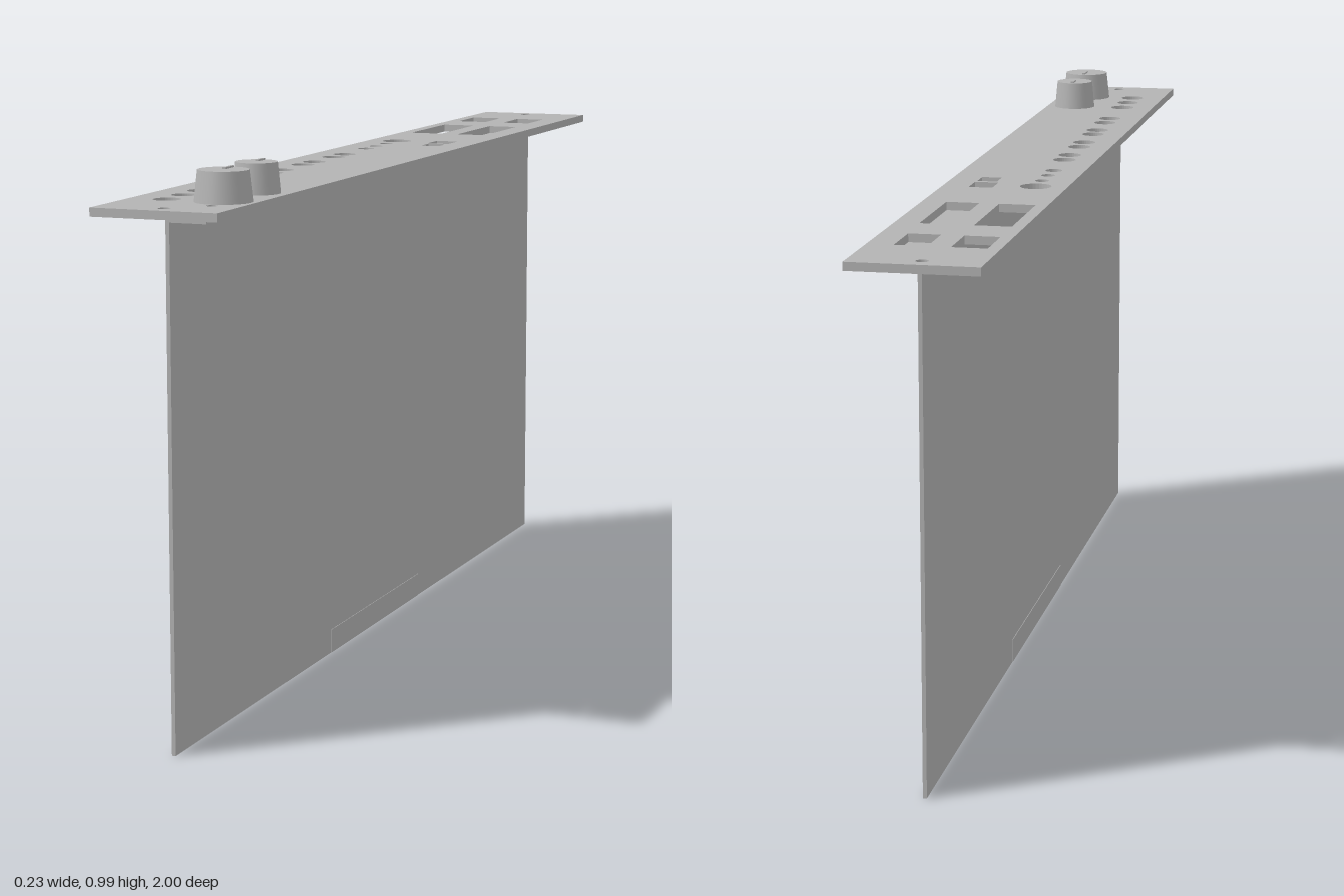
import * as THREE from 'three';

const PANEL_TOP = 0.934, PANEL_BOTTOM = 0.919;

export function createModel() {
  const model = new THREE.Group();
  model.name = 'panelCard';
  const grey = new THREE.MeshStandardMaterial({ color: 0xb3b3b3 });
  grey.name = 'grey';

  const add = (name, geometry, x, y, z, parent = model) => {
    const mesh = new THREE.Mesh(geometry, grey);
    mesh.name = name;
    mesh.position.set(x, y, z);
    parent.add(mesh);
    return mesh;
  };

  // Outlines are drawn in plan: shape x = x, shape y = z
  const rect = (path, x0, x1, z0, z1) =>
    path.moveTo(x0, z0).lineTo(x1, z0).lineTo(x1, z1).lineTo(x0, z1).closePath();

  // Face plate with all cut-outs
  const plate = rect(new THREE.Shape(), -0.114, 0.114, -1, 1);
  const windows = [
    [-0.092, -0.03, -0.85, -0.75], [-0.092, -0.026, -0.658, -0.454],
    [0.01, 0.067, -0.85, -0.75], [0.01, 0.07, -0.658, -0.454],
    [0.02, 0.064, -0.3, -0.246], [0.025, 0.062, -0.236, -0.194],
  ];
  windows.forEach((w) => plate.holes.push(rect(new THREE.Path(), ...w)));

  const sockets = [
    [-0.055, -0.27, 0.029], [-0.055, -0.21, 0.013], [-0.055, -0.152, 0.013], [-0.055, -0.098, 0.016],
    [-0.052, 0.024, 0.022], [-0.052, 0.08, 0.022], [-0.052, 0.179, 0.022], [-0.052, 0.235, 0.022],
    [-0.051, 0.338, 0.022], [-0.05, 0.391, 0.022], [-0.048, 0.49, 0.022], [-0.048, 0.548, 0.022],
    [-0.048, 0.704, 0.024], [-0.048, 0.774, 0.022], [-0.047, 0.844, 0.024],
    [-0.01, -0.968, 0.011], [0.005, 0.967, 0.011], [0.063, 0.906, 0.01],
  ];
  sockets.forEach(([x, z, r]) => {
    const hole = new THREE.Path();
    hole.absarc(x, z, r, 0, Math.PI * 2, true);
    plate.holes.push(hole);
  });
  const plateGeometry = new THREE.ExtrudeGeometry(plate, {
    depth: PANEL_TOP - PANEL_BOTTOM, bevelEnabled: false, curveSegments: 16,
  });
  plateGeometry.rotateX(Math.PI / 2);
  add('facePlate', plateGeometry, 0, PANEL_TOP, 0);

  // Upright circuit board, backing strip and edge contacts
  add('board', new THREE.BoxGeometry(0.007, PANEL_BOTTOM, 1.89), 0, PANEL_BOTTOM / 2, 0);
  add('backingStrip', new THREE.BoxGeometry(0.07, 0.011, 1.89), 0.035, 0.9135, 0);
  add('edgeContacts', new THREE.BoxGeometry(0.009, 0.045, 0.48), 0, 0.0225, 0);

  // Tapered knobs with raised pointers
  const addKnob = (name, z, radius) => {
    const knob = new THREE.Group();
    knob.name = name;
    knob.position.set(0.056, PANEL_TOP, z);
    model.add(knob);
    add('knobBody', new THREE.CylinderGeometry(radius * 0.88, radius, 0.054, 40), 0, 0.027, 0, knob);
    add('knobPointer', new THREE.BoxGeometry(0.006, 0.006, radius * 0.7), 0, 0.054, -radius * 0.4, knob);
  };
  addKnob('smallKnob', 0.704, 0.042);
  addKnob('largeKnob', 0.843, 0.05);

  return model;
}
